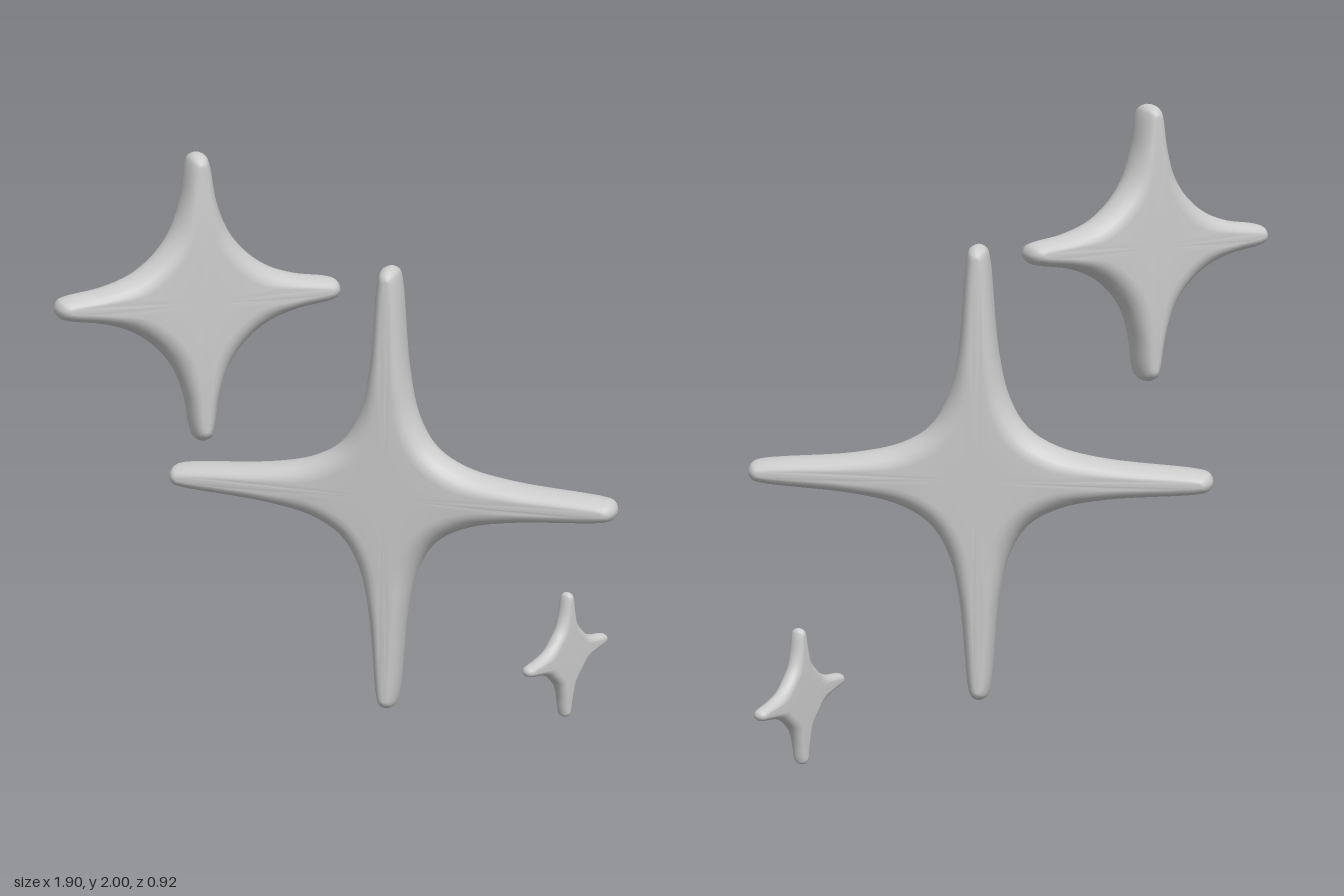
import * as THREE from 'three';

const STEPS = 6; // samples between neighbouring control points

// Mirror one octant of [x, y] points into a closed four-pointed loop and sample it smoothly.
function starLoop(octant) {
  const mirrored = octant.slice(1, -1).reverse().map(([x, y]) => [y, x]);
  const quarter = [...octant, ...mirrored];
  const points = [];
  for (let q = 0; q < 4; q++) {
    for (let [x, y] of quarter) {
      for (let k = 0; k < q; k++) [x, y] = [-y, x];
      points.push(new THREE.Vector3(x, y, 0));
    }
  }
  const curve = new THREE.CatmullRomCurve3(points, true, 'centripetal');
  const count = points.length * STEPS;
  return Array.from({ length: count }, (_, i) => curve.getPoint(i / count));
}

// R: arm length, w: tip half width, mid / elbow: [distance, half width] along the arm,
// d: waist offset on the diagonal, t: thickness
function starGeometry({ R, w, mid, elbow, d, t }) {
  const h = t / 2;
  const outer = starLoop([[R, 0], [R - 0.3 * w, 0.7 * w], [R - w, w], mid, elbow, [d, d]]);
  // Border of the flat face, from which the rounded side rolls over
  const inner = starLoop([
    [R - 1.1 * w, 0], [R - 1.15 * w, 0.1 * w], [R - 1.4 * w, 0.2 * w],
    [mid[0], 0.3 * mid[1]], [elbow[0] - 0.4 * h, 0.4 * elbow[1]],
    [d - 0.65 * h, d - 0.65 * h],
  ]);

  // Rows run from the front centre, around the rounded side, to the back centre
  const rows = [[0, 0, 1], [0.5, 0, 1]];
  const arc = 12;
  for (let i = 0; i <= arc; i++) {
    const a = Math.PI * (0.5 - i / arc);
    rows.push([1, Math.max(0, Math.cos(a)), Math.sin(a)]);
  }
  rows.push([0.5, 0, -1], [0, 0, -1]);

  const n = outer.length;
  const positions = [];
  const indices = [];
  const p = new THREE.Vector3();
  rows.forEach(([scale, roll, z], j) => {
    for (let i = 0; i < n; i++) {
      p.lerpVectors(inner[i], outer[i], roll).multiplyScalar(scale);
      // Arms get slightly thinner towards their tips
      const taper = 1 - 0.14 * THREE.MathUtils.smoothstep(p.length(), 0.45 * R, R);
      positions.push(p.x, p.y, z * h * taper);
      if (j < rows.length - 1) {
        const a = j * n + i;
        const b = j * n + (i + 1) % n;
        indices.push(a, a + n, b + n, a, b + n, b);
      }
    }
  });
  const geometry = new THREE.BufferGeometry();
  geometry.setAttribute('position', new THREE.Float32BufferAttribute(positions, 3));
  geometry.setIndex(indices);
  geometry.computeVertexNormals();
  return geometry;
}

export function createModel() {
  const group = new THREE.Group();
  group.name = 'sparkles';
  const material = new THREE.MeshStandardMaterial({ color: 0xcccccc });

  const stars = [
    { name: 'upperSparkle', at: [-0.5, 1.55, 0.015], turn: 0,
      R: 0.45, w: 0.035, mid: [0.3, 0.055], elbow: [0.21, 0.09], d: 0.142, t: 0.142 },
    { name: 'largeSparkle', at: [0.125, 0.86, 0], turn: -35,
      R: 0.74, w: 0.035, mid: [0.4, 0.064], elbow: [0.25, 0.1], d: 0.157, t: 0.155 },
    { name: 'smallSparkle', at: [0.75, 0.225, 0.015], turn: 30,
      R: 0.222, w: 0.018, mid: [0.145, 0.03], elbow: [0.105, 0.047], d: 0.073, t: 0.055 },
  ];
  for (const star of stars) {
    const mesh = new THREE.Mesh(starGeometry(star), material);
    mesh.name = star.name;
    mesh.position.set(...star.at);
    mesh.rotation.y = THREE.MathUtils.degToRad(star.turn);
    group.add(mesh);
  }
  return group;
}
